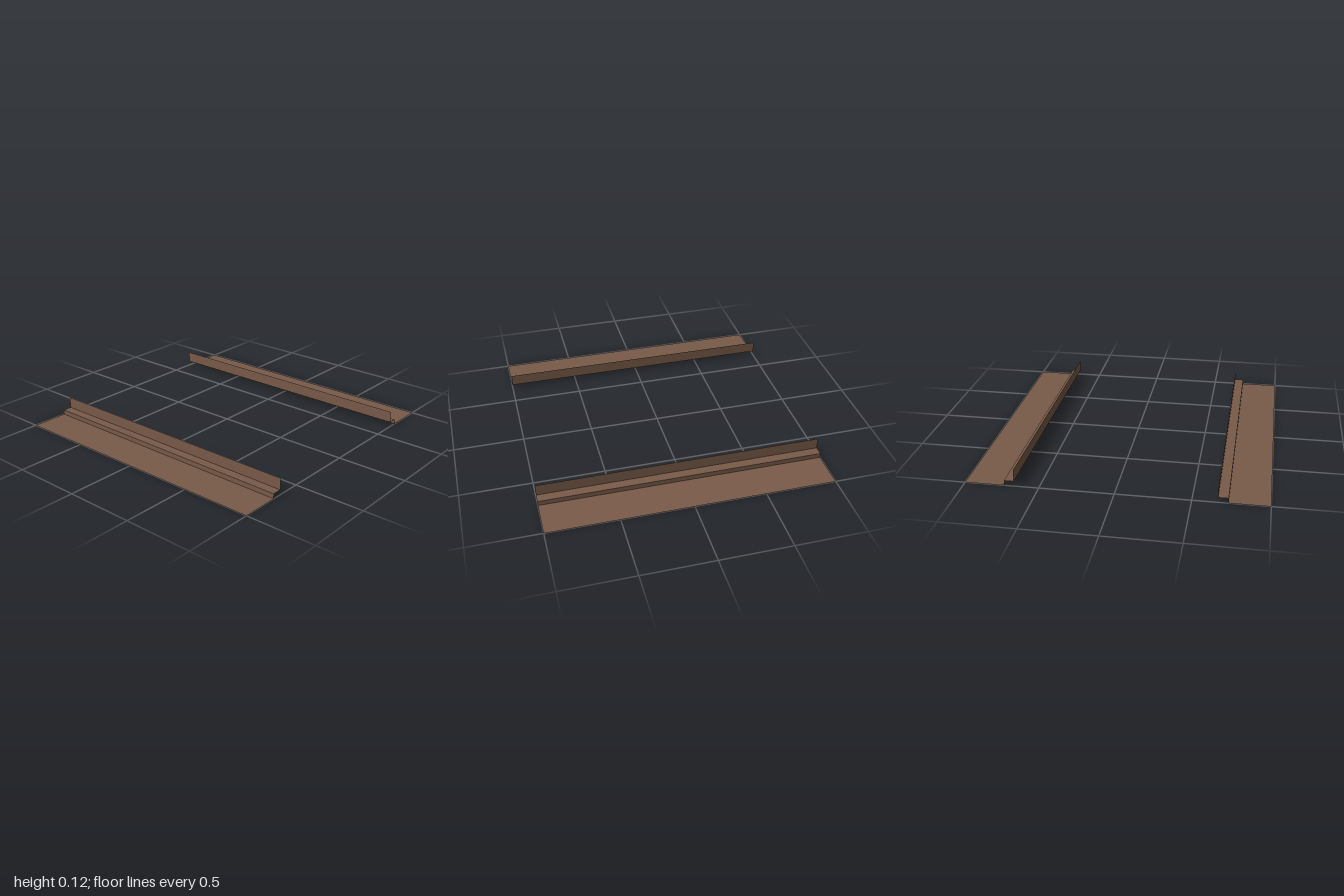
import * as THREE from 'three';

const LENGTH = 2;

// Stepped cross-section (x, y) from the outer edge inwards; each segment is one sheet
const PROFILE = [[1, 0], [0.733, 0], [0.733, 0.035], [0.667, 0.035], [0.667, 0.117]];
const NAMES = ['baseFlange', 'riser', 'stepLedge', 'uprightLip'];

// Flat sheet running along z between two profile points
function sheet([x0, y0], [x1, y1], side, material) {
  const width = Math.hypot(x1 - x0, y1 - y0);
  const geometry = new THREE.PlaneGeometry(width, LENGTH);
  geometry.rotateX(-Math.PI / 2);
  geometry.rotateZ(Math.atan2(y1 - y0, side * (x1 - x0)));
  geometry.translate(side * (x0 + x1) / 2, (y0 + y1) / 2, 0);
  return new THREE.Mesh(geometry, material);
}

export function createModel() {
  const brown = new THREE.MeshStandardMaterial({ color: 0x7a5b49, side: THREE.DoubleSide });
  brown.name = 'brown';

  const model = new THREE.Group();
  model.name = 'edgeTrims';

  // Mirrored pair of stepped trim strips
  for (const side of [1, -1]) {
    const strip = new THREE.Group();
    strip.name = side > 0 ? 'leftTrim' : 'rightTrim';
    NAMES.forEach((name, i) => {
      const part = sheet(PROFILE[i], PROFILE[i + 1], side, brown);
      part.name = name;
      strip.add(part);
    });
    model.add(strip);
  }
  return model;
}
